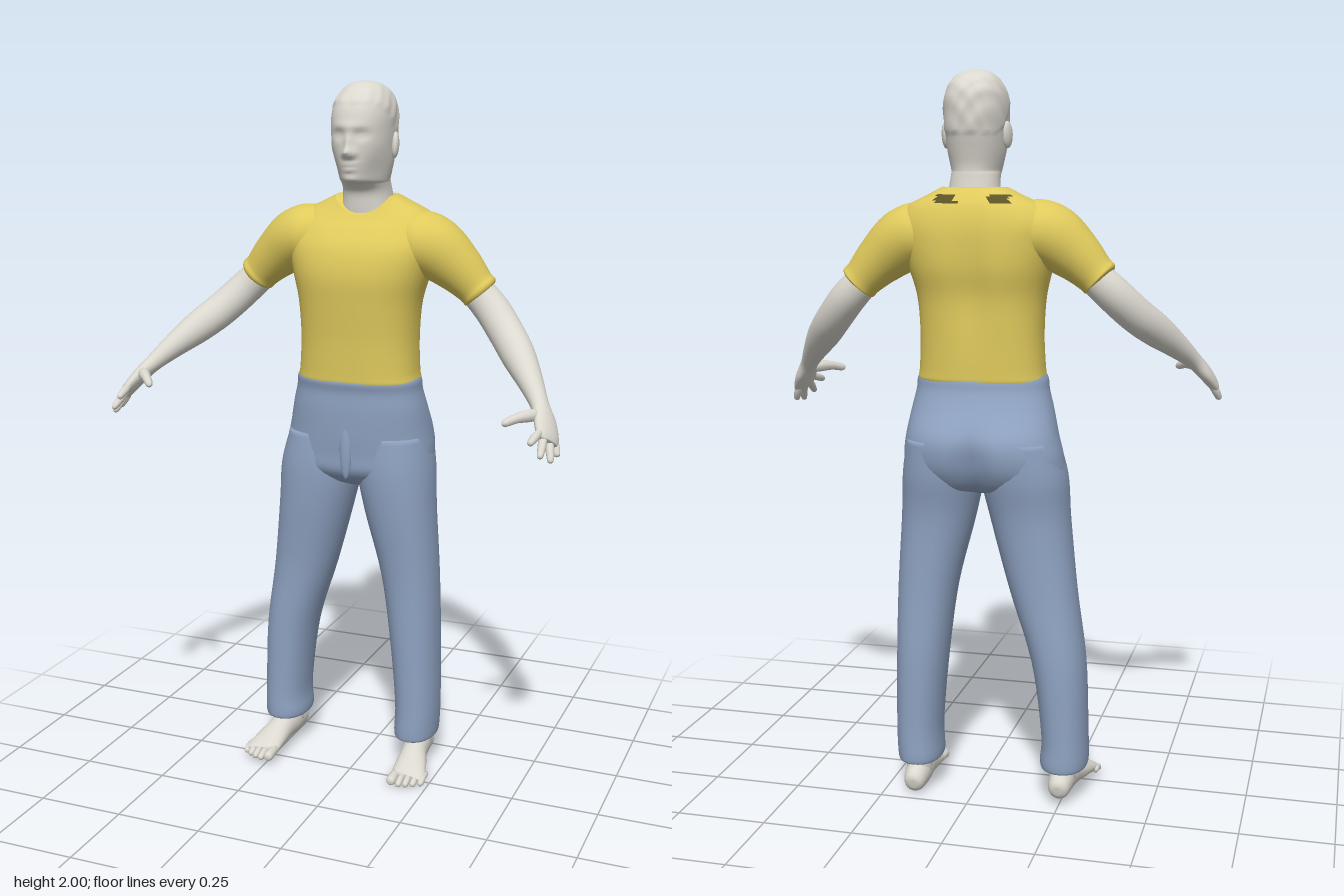
import * as THREE from 'three';

const mat = (name, color) => {
  const m = new THREE.MeshStandardMaterial({ color });
  m.name = name;
  return m;
};
const step = THREE.MathUtils.smoothstep;
const bell = (d, s) => Math.exp(-(d * d) / (s * s));

// Catmull-Rom interpolation of whole rows of numbers
function smooth(rows, k) {
  const out = [];
  const at = i => rows[Math.min(Math.max(i, 0), rows.length - 1)];
  for (let i = 0; i < rows.length - 1; i++) {
    for (let j = 0; j < k; j++) {
      const t = j / k;
      out.push(at(i).map((b, c) => {
        const a = at(i - 1)[c], d = at(i + 1)[c], e = at(i + 2)[c];
        return b + 0.5 * t * (d - a + t * (2 * a - 5 * b + 4 * d - e + t * (3 * (b - d) + e - a)));
      }));
    }
  }
  out.push(at(rows.length - 1));
  return out;
}

// Closed skin over rings of points; pick() sends a face to the second material
function skin(name, rings, material, pick) {
  const n = rings[0].length, last = rings.length - 1;
  const pts = rings.flat();
  const centre = r => r.reduce((s, p) => s.add(p), new THREE.Vector3()).divideScalar(n);
  pts.push(centre(rings[0]), centre(rings[last]));
  const faces = [[], []];
  for (let j = 0; j < n; j++) {
    const k = (j + 1) % n;
    for (let i = 0; i < last; i++) {
      const a = i * n + j, b = i * n + k, c = b + n, d = a + n;
      faces[pick && pick(pts[a]) ? 1 : 0].push(a, b, c, a, c, d);
    }
    faces[0].push(pts.length - 2, k, j, pts.length - 1, last * n + j, last * n + k);
  }
  const g = new THREE.BufferGeometry().setFromPoints(pts);
  g.setIndex(faces.flat());
  if (pick) {
    g.addGroup(0, faces[0].length, 0);
    g.addGroup(faces[0].length, faces[1].length, 1);
  }
  g.computeVertexNormals();
  const mesh = new THREE.Mesh(g, material);
  mesh.name = name;
  return mesh;
}

// Upright form from rows of [y, xMin, xMax, zBack, zFront, frontDip]
function upright(name, rows, material, { n = 48, k = 5, p = 2.2, shape, pick } = {}) {
  const pow = v => Math.sign(v) * Math.abs(v) ** (2 / p);
  const rings = smooth(rows, k).map(([y, x0, x1, zb, zf, dip = 0]) =>
    Array.from({ length: n }, (_, j) => {
      const a = (j / n) * Math.PI * 2, s = -Math.sin(a);
      const v = new THREE.Vector3(
        (x0 + x1) / 2 + pow(Math.cos(a)) * (x1 - x0) / 2,
        y - dip * Math.max(0, s) ** 2,
        (zb + zf) / 2 + pow(s) * (zf - zb) / 2);
      if (shape) shape(v);
      return v;
    }));
  return skin(name, rings, material, pick);
}

// Limb along a path of [x, y, z, halfWidth, halfThickness], width along ref
function limb(name, rows, ref, material, n = 20, k = 5) {
  const rs = smooth(rows, k), c = rs.map(r => new THREE.Vector3(r[0], r[1], r[2]));
  const rings = rs.map((r, i) => {
    const t = c[Math.min(i + 1, c.length - 1)].clone().sub(c[Math.max(i - 1, 0)]).normalize();
    const s = ref.clone().addScaledVector(t, -ref.dot(t)).normalize();
    const b = t.clone().cross(s);
    return Array.from({ length: n }, (_, j) => {
      const a = (j / n) * Math.PI * 2;
      return c[i].clone().addScaledVector(s, Math.cos(a) * r[3]).addScaledVector(b, Math.sin(a) * r[4]);
    });
  });
  return skin(name, rings, material);
}

export function createModel() {
  const skinMat = mat('pale skin', 0xdbd8cf);
  const shirtMat = mat('yellow cloth', 0xdfca5c);
  const pantsMat = mat('blue cloth', 0x8fa3c2);
  const darkMat = mat('dark patch', 0x5c5426);
  const model = new THREE.Group();
  model.name = 'standingMan';

  // Head and neck: face modelled by bumps, short hair as a raised lumpy cap
  const bumps = [ // x, y, width, height, amount
    [0, 1.813, 0.014, 0.014, 0.022], [0, 1.838, 0.010, 0.026, 0.013],
    [0, 1.882, 0.045, 0.012, 0.005], [0, 1.783, 0.022, 0.006, 0.006],
    [0, 1.768, 0.018, 0.006, 0.006], [0, 1.742, 0.022, 0.012, 0.004],
    [0.033, 1.860, 0.018, 0.012, -0.010], [-0.033, 1.860, 0.018, 0.012, -0.010],
    [0.033, 1.859, 0.011, 0.006, 0.005], [-0.033, 1.859, 0.011, 0.006, 0.005],
    [0.014, 1.808, 0.008, 0.008, 0.007], [-0.014, 1.808, 0.008, 0.008, 0.007],
  ];
  const face = v => {
    let x = v.x - 0.01;
    x *= 1 - 0.3 * step(v.z, -0.09, 0.03) * step(v.y, 1.70, 1.735) * (1 - step(v.y, 1.745, 1.84));
    const front = step(v.z, -0.05, 0.0);
    for (const [bx, by, sx, sy, amount] of bumps) v.z += front * amount * bell(x - bx, sx) * bell(v.y - by, sy);
    const line = 1.937 - 0.11 * step(-v.z, 0, 0.16);
    const hair = step(v.y, line, line + 0.01);
    const lump = 0.025 + 0.02 * Math.sin(140 * x) * Math.sin(120 * v.z + 90 * v.y);
    v.x = 0.01 + x * (1 + hair * lump);
    v.z += (v.z + 0.08) * hair * lump;
  };
  model.add(upright('headAndNeck', [
    [1.60, -0.075, 0.095, -0.19, -0.05], [1.66, -0.064, 0.082, -0.185, -0.045],
    [1.705, -0.057, 0.076, -0.178, -0.038], [1.728, -0.056, 0.075, -0.175, -0.008],
    [1.737, -0.057, 0.077, -0.174, 0.022], [1.757, -0.062, 0.082, -0.176, 0.030],
    [1.79, -0.068, 0.088, -0.184, 0.034], [1.83, -0.071, 0.091, -0.194, 0.036],
    [1.87, -0.073, 0.093, -0.199, 0.037], [1.91, -0.073, 0.093, -0.199, 0.033],
    [1.945, -0.066, 0.086, -0.193, 0.018], [1.975, -0.049, 0.069, -0.170, -0.012],
    [1.993, -0.026, 0.046, -0.130, -0.047], [1.999, 0.003, 0.017, -0.095, -0.08],
  ], skinMat, { n: 72, k: 6, shape: face }));

  // Shirt body with a shallow spine groove
  const spine = v => {
    if (v.z < -0.1) v.z += 0.016 * bell(v.x + 0.005, 0.045) * bell(v.y - 1.45, 0.16);
  };
  const patch = v => v.z < -0.15 && v.y > 1.652 && v.y < 1.674 && Math.abs(Math.abs(v.x) - 0.075) < 0.03;
  model.add(upright('shirtBody', [
    [1.172, -0.175, 0.155, -0.208, 0.008, 0], [1.18, -0.186, 0.167, -0.22, 0.02, 0],
    [1.21, -0.182, 0.163, -0.222, 0.022, 0], [1.30, -0.177, 0.160, -0.225, 0.026, 0],
    [1.40, -0.182, 0.168, -0.23, 0.035, 0], [1.48, -0.200, 0.190, -0.245, 0.040, 0],
    [1.55, -0.215, 0.210, -0.246, 0.025, 0], [1.60, -0.215, 0.212, -0.24, -0.006, 0],
    [1.645, -0.180, 0.185, -0.225, -0.032, 0.015], [1.675, -0.120, 0.130, -0.205, -0.042, 0.032],
    [1.694, -0.080, 0.095, -0.188, -0.045, 0.048],
  ], [shirtMat, darkMat], { n: 64, p: 2.4, shape: spine, pick: patch }));

  // Trousers: hips with a slight cleft at the back, then two legs
  const cleft = v => {
    if (v.z < -0.15) v.z += 0.03 * bell(v.x + 0.015, 0.03) * (1 - step(v.y, 0.95, 1.1));
  };
  model.add(upright('trouserHips', [
    [0.865, -0.06, 0.03, -0.17, -0.07], [0.885, -0.16, 0.12, -0.23, -0.03],
    [0.92, -0.24, 0.19, -0.262, 0.0], [0.97, -0.243, 0.198, -0.283, 0.006],
    [1.03, -0.228, 0.192, -0.284, 0.012], [1.10, -0.210, 0.182, -0.247, 0.016],
    [1.15, -0.196, 0.172, -0.226, 0.016], [1.18, -0.191, 0.170, -0.221, 0.022],
    [1.195, -0.184, 0.162, -0.214, 0.014],
  ], pantsMat, { p: 2.3, shape: cleft }));
  const fly = new THREE.Mesh(new THREE.SphereGeometry(1, 16, 12), pantsMat);
  fly.name = 'trouserFly';
  fly.scale.set(0.018, 0.09, 0.012);
  fly.position.set(-0.012, 0.99, 0.004);
  model.add(fly);
  model.add(upright('rightTrouserLeg', [
    [0.105, -0.300, -0.205, -0.205, -0.06], [0.10, -0.314, -0.193, -0.22, -0.045],
    [0.12, -0.320, -0.187, -0.225, -0.04], [0.2, -0.318, -0.190, -0.225, -0.04],
    [0.4, -0.310, -0.162, -0.23, -0.035], [0.6, -0.283, -0.098, -0.227, -0.03],
    [0.8, -0.261, -0.042, -0.236, -0.008], [0.92, -0.253, -0.018, -0.258, 0.0],
    [1.02, -0.225, -0.03, -0.265, -0.005],
  ], pantsMat, { n: 36 }));
  model.add(upright('leftTrouserLeg', [
    [0.095, 0.115, 0.205, -0.213, -0.07], [0.09, 0.103, 0.218, -0.225, -0.055],
    [0.11, 0.098, 0.224, -0.23, -0.05], [0.2, 0.100, 0.227, -0.23, -0.05],
    [0.4, 0.082, 0.225, -0.235, -0.045], [0.6, 0.055, 0.221, -0.23, -0.036],
    [0.8, 0.006, 0.211, -0.236, -0.01], [0.92, -0.015, 0.204, -0.258, 0.0],
    [1.02, 0.0, 0.188, -0.265, -0.005],
  ], pantsMat, { n: 36 }));

  for (const [side, s] of [['right', -1], ['left', 1]]) {
    // Ear
    const ear = new THREE.Mesh(new THREE.SphereGeometry(1, 16, 12), skinMat);
    ear.name = side + 'Ear';
    ear.scale.set(0.011, 0.036, 0.021);
    ear.position.set(0.01 + s * 0.085, 1.83, -0.092);
    ear.rotation.set(-0.15, s * 0.3, 0);
    model.add(ear);

    // The left arm hangs a little lower and further back than the right
    const armRow = ([x, y, z, a, b = a]) => {
      const u = s > 0 ? (x - 0.3) / 0.3 : 0, on = s > 0 ? 1 : 0;
      return [s * x, y - on * (0.018 + 0.02 * u), z - on * (0.025 + 0.035 * u), a, b];
    };
    const arm = (name, rows, ref, m, n, k) => model.add(limb(side + name, rows.map(armRow), ref, m, n, k));

    // Sleeve with a rolled cuff
    arm('Sleeve', [
      [0.11, 1.575, -0.108, 0.08, 0.07], [0.16, 1.575, -0.11, 0.1, 0.088], [0.21, 1.558, -0.11, 0.093, 0.086],
      [0.27, 1.513, -0.11, 0.071, 0.07], [0.315, 1.470, -0.11, 0.056, 0.056],
      [0.331, 1.455, -0.109, 0.056, 0.055], [0.336, 1.450, -0.109, 0.045, 0.045],
    ], new THREE.Vector3(0, 0, 1), shirtMat, 32);

    // Arm and palm
    const across = new THREE.Vector3(-s * 0.05, 0.05, 0.095).normalize();
    arm('Arm', [
      [0.29, 1.485, -0.112, 0.044], [0.36, 1.420, -0.100, 0.049], [0.42, 1.358, -0.058, 0.049],
      [0.47, 1.310, 0.0, 0.046], [0.52, 1.260, 0.065, 0.036, 0.034], [0.558, 1.217, 0.118, 0.028, 0.024],
      [0.583, 1.183, 0.155, 0.041, 0.021], [0.600, 1.152, 0.192, 0.043, 0.017], [0.606, 1.138, 0.207, 0.034, 0.011],
    ], across, skinMat, 24);

    // Fingers from index to little, then thumb
    const tips = [[0.577, 1.148, 0.280], [0.602, 1.113, 0.272], [0.621, 1.094, 0.235], [0.627, 1.100, 0.190]];
    tips.forEach((t, i) => {
      const k = 0.032 - i * 0.0215;
      const root = [0.598 - k * 0.42, 1.152 + k * 0.42, 0.193 + k * 0.8];
      const row = (f, r) => [...root.map((v, c) => v + (t[c] - v) * f), r];
      arm('Finger' + (i + 1), [row(-0.2, 0.009), row(0.3, 0.0115), row(0.65, 0.0105), row(0.93, 0.008), row(1, 0.002)],
        across, skinMat, 10, 3);
    });
    arm('Thumb', [
      [0.575, 1.195, 0.145, 0.012], [0.552, 1.198, 0.182, 0.017], [0.525, 1.194, 0.215, 0.013],
      [0.503, 1.184, 0.240, 0.010], [0.497, 1.180, 0.246, 0.002],
    ], new THREE.Vector3(0, 1, 0), skinMat, 10, 3);

    // Foot, ankle and toes
    const shift = s > 0 ? [-0.088, 0, -0.018] : [0, 0.014, 0];
    const footRow = ([x, y, z, a, b = a]) => [s * x + shift[0], y + shift[1], z + shift[2], a, b];
    const sideways = new THREE.Vector3(1, 0, 0);
    const foot = (name, rows, n, k) => model.add(limb(side + name, rows.map(footRow), sideways, skinMat, n, k));
    foot('Foot', [
      [0.25, 0.034, -0.212, 0.012, 0.014], [0.25, 0.037, -0.198, 0.029, 0.032], [0.251, 0.048, -0.14, 0.036, 0.046],
      [0.257, 0.043, -0.08, 0.037, 0.041], [0.267, 0.030, -0.02, 0.046, 0.029],
      [0.274, 0.019, 0.028, 0.050, 0.017], [0.274, 0.016, 0.042, 0.042, 0.010],
    ], 24);
    foot('Ankle', [[0.251, 0.05, -0.14, 0.036, 0.045], [0.252, 0.1, -0.142, 0.036, 0.042], [0.253, 0.17, -0.14, 0.04, 0.045]], 20);
    for (let i = 0; i < 5; i++) {
      const x = 0.237 + i * 0.0195 + (i ? 0.004 : 0), r = i ? 0.0095 : 0.0145;
      const z = [0.08, 0.082, 0.076, 0.066, 0.053][i];
      foot('Toe' + (i + 1), [
        [x, 0.018, z - 0.055, r * 0.9], [x, 0.017, z - 0.03, r], [x, r, z - 0.01, r], [x, r, z - 0.002, r * 0.65], [x, r, z, r * 0.15],
      ], 10, 3);
    }
  }
  return model;
}
